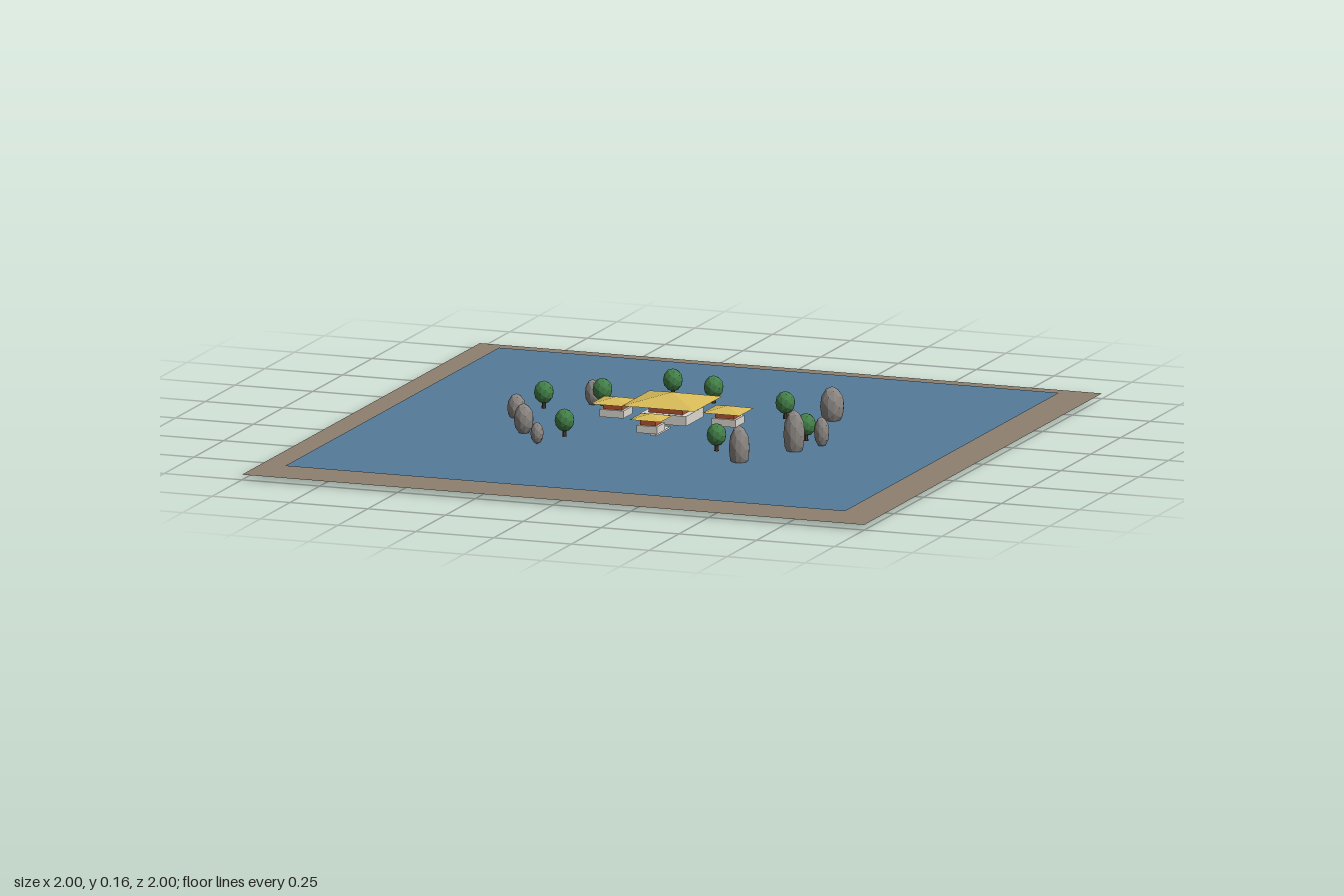
import * as THREE from 'three';

const mat = (color, extra = {}) => new THREE.MeshStandardMaterial({ color, ...extra });

export function createModel() {
  const model = new THREE.Group();
  const earth = mat(0x8f8070, { side: THREE.DoubleSide });
  const water = mat(0x557c9a, { side: THREE.DoubleSide });
  const gold = mat(0xd9bc58, { flatShading: true });
  const red = mat(0xb5532f);
  const stone = mat(0xdedad2);
  const bark = mat(0x4f3a28, { flatShading: true });
  const leaf = mat(0x438048, { flatShading: true });
  const rockGrey = mat(0x8b8682, { flatShading: true });

  const add = (parent, name, geometry, material, x = 0, y = 0, z = 0) => {
    const mesh = new THREE.Mesh(geometry, material);
    mesh.name = name;
    mesh.position.set(x, y, z);
    parent.add(mesh);
    return mesh;
  };

  // Flat shore with the lake just above it
  add(model, 'shore', new THREE.PlaneGeometry(2, 2).rotateX(-Math.PI / 2), earth, 0, 0.016, 0);
  add(model, 'lake', new THREE.PlaneGeometry(1.8, 1.8).rotateX(-Math.PI / 2), water, 0, 0.03, 0);

  // Hall: stone platform, red walls, four-sided roof
  const hall = (name, x, z, p) => {
    const group = new THREE.Group();
    group.name = name;
    group.position.set(x, 0, z);
    const box = (part, half, y0, y1, material) =>
      add(group, part, new THREE.BoxGeometry(half * 2, y1 - y0, half * 2), material, 0, (y0 + y1) / 2, 0);
    box('platform', p.base, 0.06, p.floor, stone);
    box('walls', p.wall, p.floor, p.eave, red);
    const roof = new THREE.ConeGeometry(p.roof * Math.SQRT2, p.top - p.eave, 4).rotateY(Math.PI / 4);
    add(group, 'roof', roof, gold, 0, (p.eave + p.top) / 2, 0);
    model.add(group);
  };
  hall('mainHall', 0, 0, { base: 0.073, floor: 0.09, wall: 0.055, eave: 0.117, roof: 0.117, top: 0.145 });
  const small = { base: 0.038, floor: 0.083, wall: 0.03, eave: 0.102, roof: 0.06, top: 0.117 };
  hall('leftPavilion', 0.18, 0, small);
  hall('rightPavilion', -0.18, 0, small);
  hall('frontPavilion', 0, 0.178, { ...small, base: 0.033, wall: 0.025, roof: 0.05, top: 0.115 });

  // Low walkway to the front pavilion
  add(model, 'walkway', new THREE.BoxGeometry(0.02, 0.006, 0.12), stone, 0, 0.045, 0.1);

  // Trees around the halls
  const trunkShape = new THREE.CylinderGeometry(0.005, 0.007, 0.03, 6);
  const crownShape = new THREE.IcosahedronGeometry(1, 1).scale(0.03, 0.035, 0.03);
  const trees = [[-0.15, -0.4], [0, -0.35], [0.28, -0.22], [-0.3, -0.2],
    [-0.45, -0.1], [0.45, 0.05], [-0.25, 0.25], [0.25, 0.28]];
  for (const [x, z] of trees) {
    const tree = new THREE.Group();
    tree.name = 'tree';
    tree.position.set(x, 0, z);
    add(tree, 'trunk', trunkShape, bark, 0, 0.055, 0);
    add(tree, 'crown', crownShape, leaf, 0, 0.09, 0);
    model.add(tree);
  }

  // Tall rocks: x, z, radius, bottom, top
  const rocks = [
    [0.4, -0.3, 0.037, 0.012, 0.133], [0.45, 0.15, 0.033, 0.004, 0.156],
    [0.35, 0.35, 0.032, 0, 0.141], [0.5, 0.05, 0.023, 0.023, 0.118],
    [-0.4, 0.2, 0.03, 0.022, 0.12], [-0.5, 0, 0.028, 0.015, 0.102],
    [-0.35, -0.25, 0.024, 0.024, 0.107], [-0.3, 0.35, 0.02, 0.033, 0.1],
  ];
  const rockShape = new THREE.IcosahedronGeometry(1, 1);
  for (const [x, z, r, y0, y1] of rocks) {
    add(model, 'rock', rockShape, rockGrey, x, (y0 + y1) / 2, z).scale.set(r, (y1 - y0) / 2, r);
  }

  return model;
}
